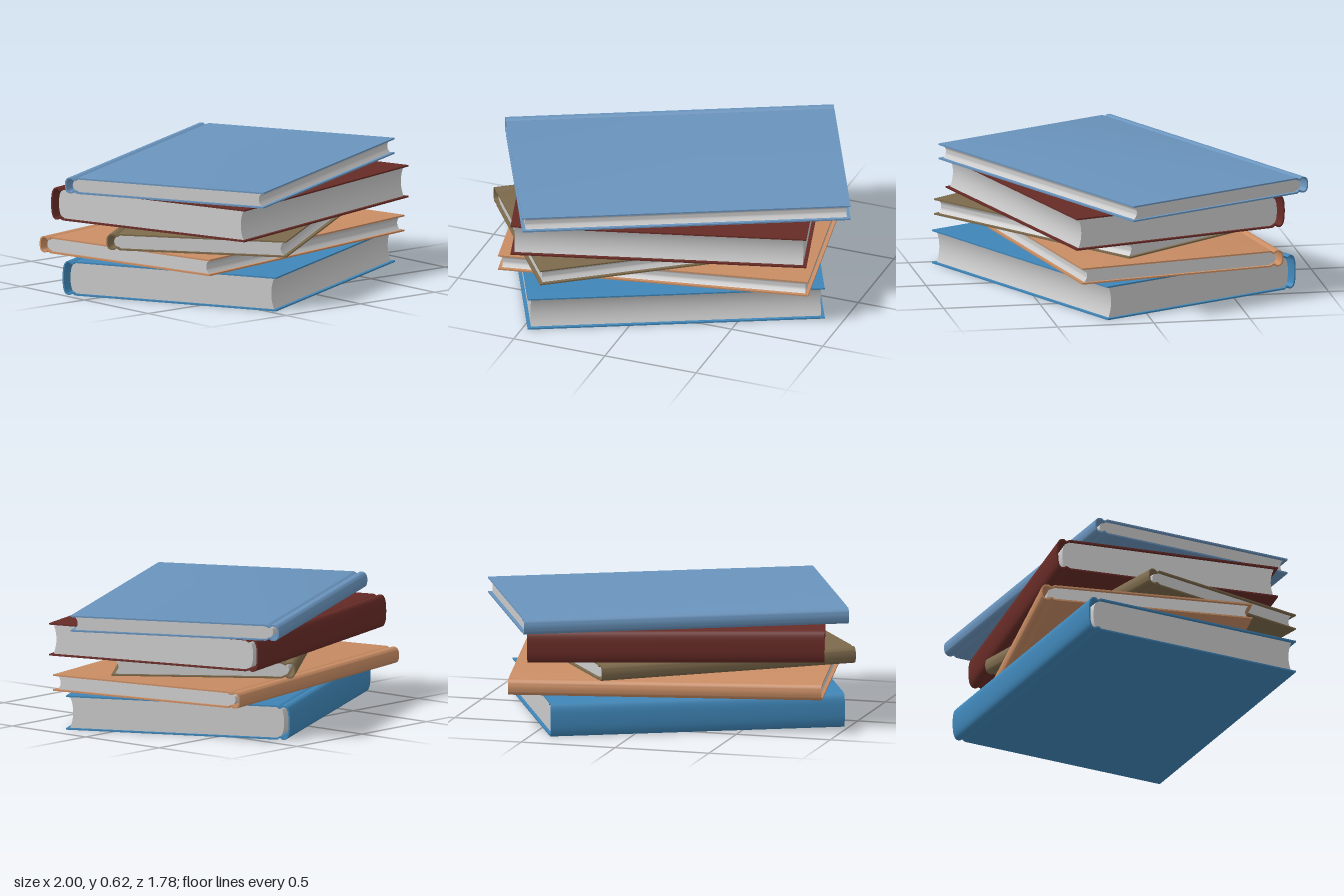
import * as THREE from 'three';
import { toCreasedNormals } from 'three/addons/utils/BufferGeometryUtils.js';

const THICK = 0.008; // cover board thickness
const INSET = 0.018; // how far the covers overhang the pages

// Books from bottom to top: centre x/z, y range, spine length, depth, turn, colour
const BOOKS = [
  { name: 'bottomBook', x: -0.042, z: 0.017, y0: 0, y1: 0.177, length: 1.523, depth: 1.19, turn: 0.45, color: 0x3f86b8 },
  { name: 'secondBook', x: -0.037, z: -0.042, y0: 0.182, y1: 0.267, length: 1.61, depth: 1.105, turn: 0.193, color: 0xc98d64 },
  { name: 'middleBook', x: -0.12, z: 0.098, y0: 0.272, y1: 0.357, length: 1.378, depth: 0.945, turn: 0.628, color: 0x7d6a4c },
  { name: 'fourthBook', x: -0.032, z: 0.012, y0: 0.362, y1: 0.53, length: 1.518, depth: 1.185, turn: 0.277, color: 0x672b26 },
  { name: 'topBook', x: 0, z: -0.025, y0: 0.534, y1: 0.617, length: 1.684, depth: 1.107, turn: 0.452, color: 0x6a94bd },
];

// Extrude a cross-section (depth, height) along the spine direction
function extrudeAlongX(points, length) {
  const geometry = new THREE.ExtrudeGeometry(new THREE.Shape(points), { depth: length, bevelEnabled: false });
  geometry.translate(0, 0, -length / 2);
  geometry.rotateY(-Math.PI / 2);
  return toCreasedNormals(geometry, 0.6);
}

// Give a centre line a thickness by offsetting it to both sides
function thicken(line, thickness) {
  const sides = [1, -1].map((side) => line.map((p, i) => {
    const a = line[Math.max(i - 1, 0)];
    const b = line[Math.min(i + 1, line.length - 1)];
    const t = b.clone().sub(a).normalize();
    return new THREE.Vector2(p.x - t.y * side * thickness / 2, p.y + t.x * side * thickness / 2);
  }));
  return [...sides[0], ...sides[1].reverse()];
}

// Wrap-around cover: flat board, pressed hinge groove, rounded spine, mirrored below
function coverProfile(depth, height) {
  const back = -depth / 2 + THICK / 2;
  const half = height / 2 - THICK / 2;
  const upper = [new THREE.Vector2(depth / 2, half)];
  for (let i = 0; i <= 8; i++) { // hinge groove
    const k = i / 8;
    const dip = 0.009 * Math.sin(Math.PI * k) ** 2;
    upper.push(new THREE.Vector2(back + 0.068 - 0.036 * k, half - dip));
  }
  for (let i = 1; i <= 8; i++) { // spine curve from the edge to its middle
    const a = (1 - i / 8) * Math.PI / 2;
    upper.push(new THREE.Vector2(back + 0.03 * (1 - Math.cos(a) ** 0.75), half * Math.sin(a) ** 0.75));
  }
  const lower = upper.slice(0, -1).reverse().map((p) => new THREE.Vector2(p.x, -p.y));
  return thicken([...upper, ...lower], THICK);
}

// Page block: hollow fore edge and rounded back
function pagesProfile(depth, height) {
  const half = height / 2 - THICK;
  const points = [];
  const steps = 10;
  for (let i = 0; i <= steps; i++) { // fore edge, upwards
    const k = i / steps * 2 - 1;
    points.push(new THREE.Vector2(depth / 2 - INSET - 0.016 * (1 - k * k), half * k));
  }
  const hinge = -depth / 2 + 0.072;
  points.push(new THREE.Vector2(hinge, half));
  for (let i = 0; i <= steps; i++) { // back, downwards, kept clear of the groove
    const a = Math.PI / 2 - i / steps * Math.PI;
    points.push(new THREE.Vector2(hinge - 0.016 - 0.02 * Math.cos(a), (half - 0.009) * Math.sin(a)));
  }
  points.push(new THREE.Vector2(hinge, -half));
  return points;
}

function createBook({ name, x, z, y0, y1, length, depth, turn, color }) {
  const book = new THREE.Group();
  book.name = name;
  const height = y1 - y0;

  const cover = new THREE.Mesh(
    extrudeAlongX(coverProfile(depth, height), length),
    new THREE.MeshStandardMaterial({ color }),
  );
  cover.name = 'cover';

  const pages = new THREE.Mesh(
    extrudeAlongX(pagesProfile(depth, height), length - 2 * INSET),
    new THREE.MeshStandardMaterial({ color: 0xcccccc }),
  );
  pages.name = 'pages';

  book.add(cover, pages);
  book.position.set(x, (y0 + y1) / 2, z);
  book.rotation.y = turn;
  return book;
}

export function createModel() {
  const stack = new THREE.Group();
  stack.name = 'bookStack';
  for (const spec of BOOKS) stack.add(createBook(spec));
  return stack;
}
